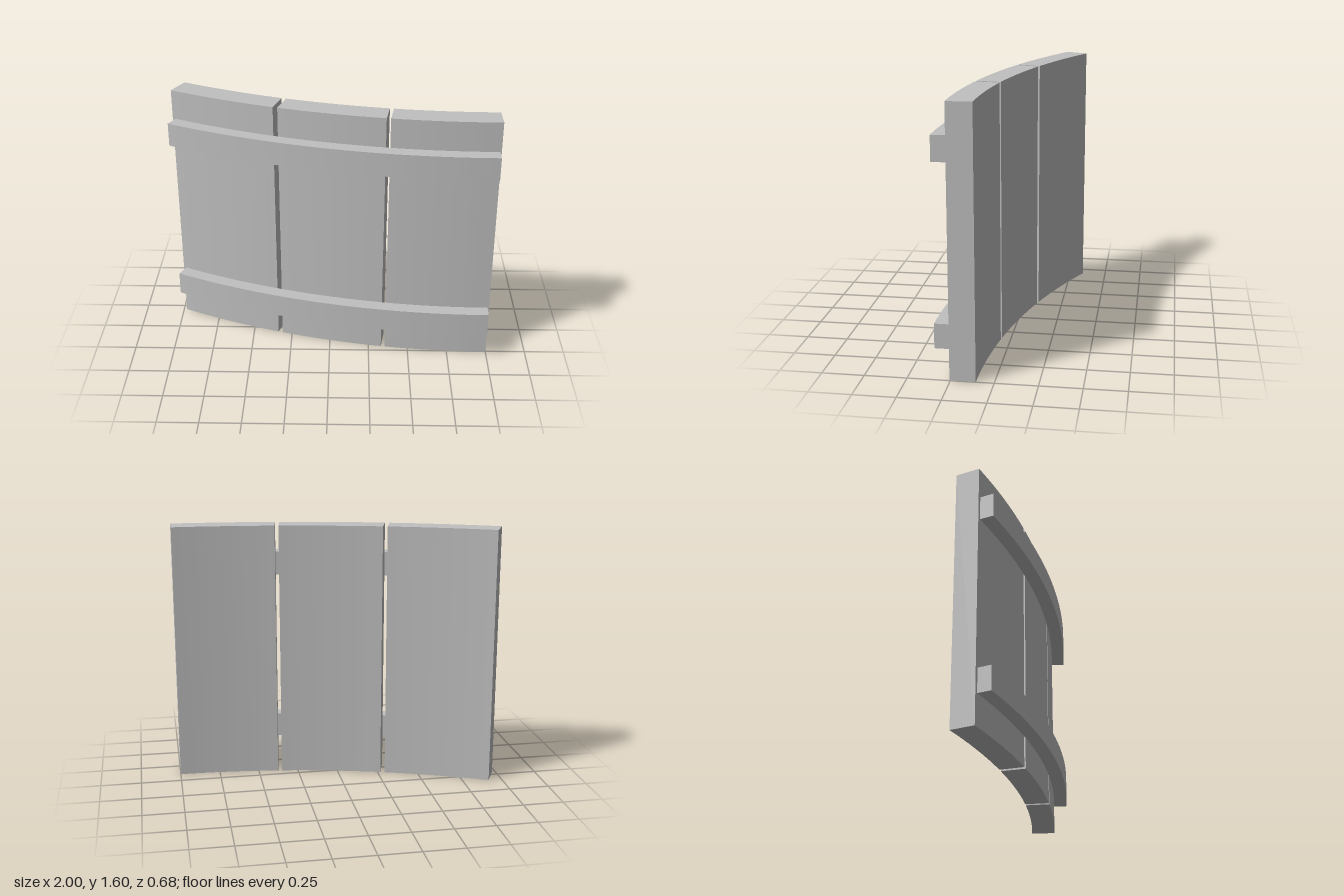
import * as THREE from 'three';

// Shared centre of curvature in plan, and the radii of the layers
const CX = 1.0, CZ = -4.235;
const R_BACK = 4.34, R_FACE = 4.49, R_RAIL = 4.575;
const HEIGHT = 1.595;

// Curved slab between two radii; angles in degrees measured leftwards (-x) from +z
function arcSlab(name, rIn, rOut, from, to, y, height, material) {
  const a = -Math.PI / 2 - THREE.MathUtils.degToRad(from);
  const b = -Math.PI / 2 - THREE.MathUtils.degToRad(to);
  const plan = new THREE.Shape();
  plan.absarc(CX, -CZ, rOut, b, a, false);
  plan.absarc(CX, -CZ, rIn, a, b, true);
  plan.closePath();
  const geometry = new THREE.ExtrudeGeometry(plan, {
    depth: height, bevelEnabled: false, curveSegments: Math.max(4, Math.round((to - from) / 1.5)),
  });
  geometry.rotateX(-Math.PI / 2);
  geometry.translate(0, y, 0);
  const mesh = new THREE.Mesh(geometry, material);
  mesh.name = name;
  return mesh;
}

export function createModel() {
  const group = new THREE.Group();
  group.name = 'curvedPanelWall';
  const grey = new THREE.MeshStandardMaterial({ color: 0xc0c0c0 });
  grey.name = 'light grey';

  // Three upright panels separated by narrow gaps
  const panels = [
    ['rightPanel', 17.36, 26.17],
    ['middlePanel', 8.58, 16.99],
    ['leftPanel', 0, 8.26],
  ];
  for (const [name, from, to] of panels) {
    group.add(arcSlab(name, R_BACK, R_FACE, from, to, 0, HEIGHT, grey));
  }

  // Two curved rails across the front
  for (const [name, y] of [['lowerRail', 0.188], ['upperRail', 1.262]]) {
    group.add(arcSlab(name, R_FACE, R_RAIL, 0.12, 25.92, y, 0.148, grey));
  }
  return group;
}
